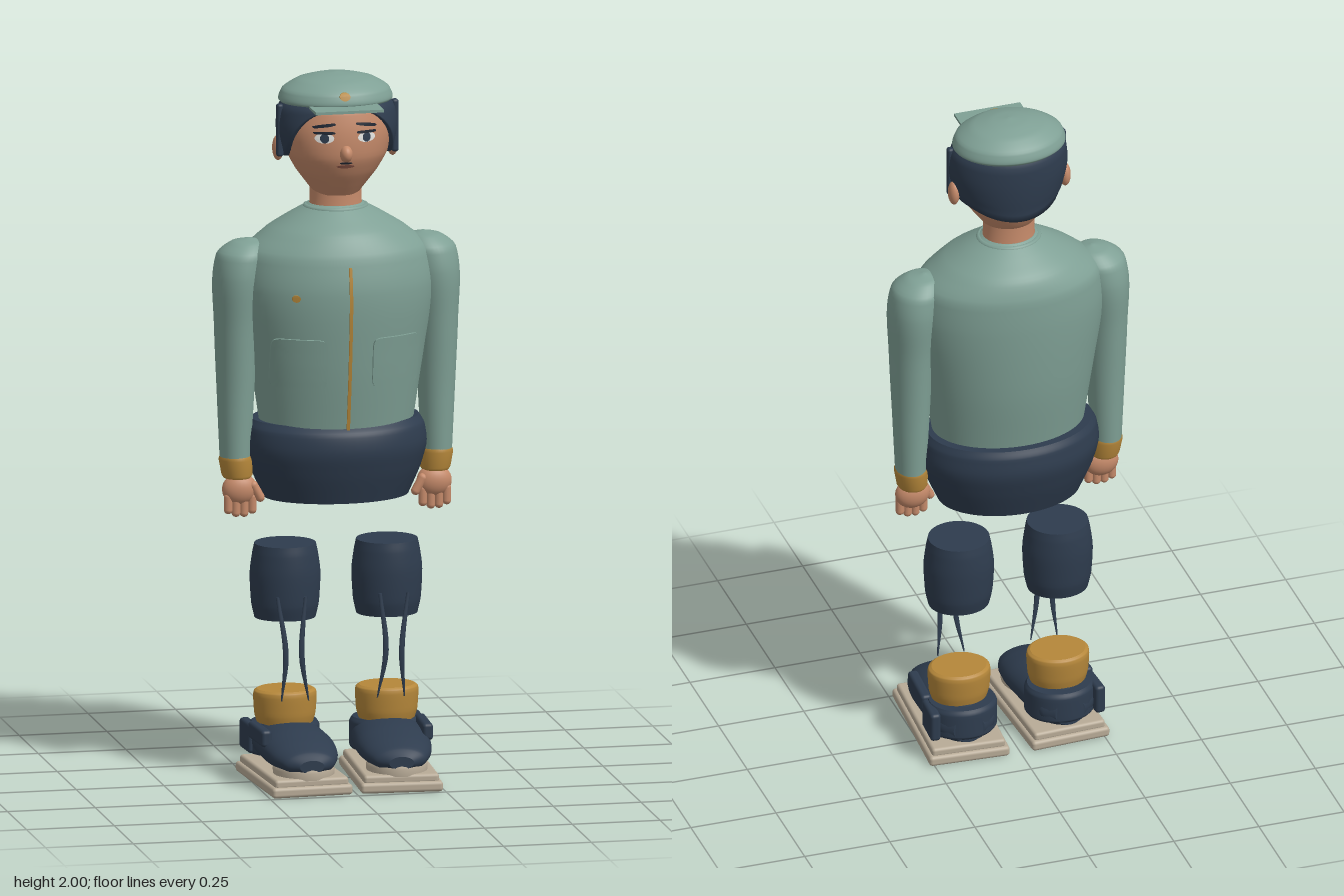
import * as THREE from 'three';
import { RoundedBoxGeometry } from 'three/addons/geometries/RoundedBoxGeometry.js';

const mat = (name, color) => {
  const m = new THREE.MeshStandardMaterial({ color });
  m.name = name;
  return m;
};

// Cross-section rows are [y, centreX, centreZ, radiusX, radiusZ]; this fills in smooth rows between them.
function dense(rows, per = 5) {
  const a = new THREE.CatmullRomCurve3(rows.map(r => new THREE.Vector3(r[1], r[0], r[2])));
  const b = new THREE.CatmullRomCurve3(rows.map(r => new THREE.Vector3(r[3], r[4], 0)));
  const n = (rows.length - 1) * per, out = [];
  for (let i = 0; i <= n; i++) {
    const p = a.getPoint(i / n), q = b.getPoint(i / n);
    out.push([p.y, p.x, p.z, q.x, q.y]);
  }
  return out;
}

// Closed skin through elliptical rows, with flat caps
function loft(rows, seg = 40) {
  const pos = [], idx = [], n = rows.length;
  const ring = ([y, cx, cz, rx, rz]) => {
    for (let j = 0; j < seg; j++) {
      const t = j / seg * Math.PI * 2;
      pos.push(cx + rx * Math.cos(t), y, cz + rz * Math.sin(t));
    }
  };
  rows.forEach(ring);
  for (let i = 0; i < n - 1; i++) for (let j = 0; j < seg; j++) {
    const a = i * seg + j, b = i * seg + (j + 1) % seg;
    idx.push(a, a + seg, b, b, a + seg, b + seg);
  }
  for (const top of [false, true]) {
    const r = rows[top ? n - 1 : 0], s = pos.length / 3;
    ring(r);
    pos.push(r[1], r[0], r[2]);
    for (let j = 0; j < seg; j++) {
      const k = s + (j + 1) % seg;
      idx.push(s + seg, top ? k : s + j, top ? s + j : k);
    }
  }
  const g = new THREE.BufferGeometry();
  g.setAttribute('position', new THREE.Float32BufferAttribute(pos, 3));
  g.setIndex(idx);
  g.computeVertexNormals();
  return g;
}

function sample(rows, y) {
  let i = 0;
  while (i < rows.length - 2 && rows[i + 1][0] < y) i++;
  const t = THREE.MathUtils.clamp((y - rows[i][0]) / (rows[i + 1][0] - rows[i][0]), 0, 1);
  return rows[i].map((v, k) => v + (rows[i + 1][k] - v) * t);
}

// Thin plate wrapped onto the front of a lofted body; power 2 is oval, higher is squarer
function plate(rows, x, y, w, h, thick, power = 2, tilt = 0) {
  const g = new THREE.BoxGeometry(2, 2, thick, 16, 16, 1), p = g.attributes.position;
  for (let i = 0; i < p.count; i++) {
    const u = p.getX(i), v = p.getY(i), m = Math.max(Math.abs(u), Math.abs(v));
    const s = m ? m / (Math.abs(u) ** power + Math.abs(v) ** power) ** (1 / power) : 1;
    const px = x + u * s * w / 2, py = y + v * s * h / 2 + tilt * u;
    const [, cx, cz, rx, rz] = sample(rows, py);
    p.setXYZ(i, px, py, cz + rz * Math.sqrt(Math.max(0, 1 - ((px - cx) / rx) ** 2)) + p.getZ(i));
  }
  g.computeVertexNormals();
  return g;
}

const TORSO = dense([[1, 0, -.045, .215, .155], [1.2, 0, -.045, .245, .185], [1.4, 0, -.043, .275, .198],
  [1.5, 0, -.05, .262, .188], [1.56, 0, -.055, .195, .16], [1.6, 0, -.055, .13, .11], [1.63, 0, -.053, .075, .068]]);
const HEAD = dense([[1.66, 0, -.045, .062, .06], [1.69, 0, -.045, .085, .083], [1.73, 0, -.042, .115, .108],
  [1.78, 0, -.038, .142, .125], [1.85, 0, -.04, .157, .127], [1.91, 0, -.045, .15, .12], [1.96, 0, -.05, .09, .075]]);
const CAP = dense([[1.915, 0, -.055, .15, .12], [1.928, 0, -.055, .161, .132], [1.955, 0, -.055, .151, .124],
  [1.982, 0, -.055, .108, .088], [1.995, 0, -.055, .055, .045], [2, 0, -.055, .004, .004]]);

// Hair shell: low at the nape, arching up over the forehead
function hairGeometry() {
  const seg = 64, steps = 12, pos = [], idx = [];
  for (let k = 0; k <= steps; k++) for (let j = 0; j <= seg; j++) {
    const t = j / seg * Math.PI * 2, front = Math.cos(t) > 0, s = Math.abs(Math.sin(t));
    const low = front ? 1.91 - .14 * s ** 4 : 1.73 + .04 * s ** 2;
    const y = low + (1.945 - low) * Math.max(0, k - 1) / (steps - 1);
    const [, , cz, rx, rz] = sample(HEAD, Math.max(y, 1.76));
    const f = k === 0 ? (y < 1.76 ? .8 : .97) : 1;
    const o = k === 0 ? 0 : front ? .014 - .008 * Math.cos(t) : .014;
    pos.push((rx * f + o) * Math.sin(t), y, cz + (rz * f + o) * Math.cos(t));
  }
  const w = seg + 1;
  for (let k = 0; k < steps; k++) for (let j = 0; j < seg; j++) {
    const a = k * w + j;
    idx.push(a, a + 1, a + w, a + 1, a + w + 1, a + w);
  }
  const g = new THREE.BufferGeometry();
  g.setAttribute('position', new THREE.Float32BufferAttribute(pos, 3));
  g.setIndex(idx);
  g.computeVertexNormals();
  return g;
}

export function createModel() {
  const root = new THREE.Group();
  const green = mat('jacketGreen', 0x7fa095), navy = mat('navy', 0x2e3c4e), skin = mat('skin', 0xc58a6a),
    gold = mat('gold', 0xb5873a), cream = mat('cream', 0xb8ab97), white = mat('eyeWhite', 0xe6e6e2),
    dark = mat('darkLine', 0x1d2430), lip = mat('lip', 0x8a5546);
  navy.side = THREE.DoubleSide;
  const add = (name, geo, m, parent = root, p = [0, 0, 0], scale) => {
    const mesh = new THREE.Mesh(geo, m);
    mesh.name = name;
    mesh.position.set(...p);
    if (scale) mesh.scale.set(...scale);
    parent.add(mesh);
    return mesh;
  };
  const ball = new THREE.SphereGeometry(1, 24, 16);

  // Jacket and hips
  add('torso', loft(TORSO, 64), green);
  add('hips', loft(dense([[.8, 0, -.052, .205, .148], [.88, 0, -.053, .24, .175], [.95, 0, -.054, .257, .19],
    [1, 0, -.055, .25, .183], [1.022, 0, -.06, .236, .166]]), 64), navy);
  add('zip', plate(TORSO, 0, 1.245, .009, .47, .009, 20), gold);
  add('chestBadge', plate(TORSO, -.15, 1.395, .022, .02, .009), gold);
  add('collar', new THREE.TorusGeometry(.084, .009, 8, 40).rotateX(Math.PI / 2), green, root, [0, 1.618, -.053], [1, 1, .9]);

  // Head
  add('neck', loft([[1.6, 0, -.053, .08, .07], [1.635, 0, -.053, .073, .066], [1.68, 0, -.053, .072, .066]]), skin);
  add('head', loft(HEAD, 48), skin);
  add('hair', hairGeometry(), navy);
  add('nose', ball, skin, root, [0, 1.793, .086], [.018, .024, .024]);
  add('mouth', plate(HEAD, 0, 1.756, .05, .01, .008), lip);
  add('upperLip', plate(HEAD, 0, 1.766, .035, .006, .008), dark);
  add('cap', loft(CAP, 56), green);
  add('visor', new THREE.BoxGeometry(.194, .008, .17), green, root, [0, 1.921, .05]);
  add('capBadge', plate(CAP, 0, 1.952, .03, .022, .009), gold);

  for (const s of [1, -1]) {
    const side = s > 0 ? 'left' : 'right';
    const flip = rows => rows.map(([y, x, ...r]) => [y, x * s, ...r]);

    // Face details
    add(side + 'EyeWhite', plate(HEAD, s * .06, 1.838, .052, .028, .004), white);
    add(side + 'Iris', plate(HEAD, s * .06, 1.838, .024, .026, .007), navy);
    add(side + 'Eyelid', plate(HEAD, s * .06, 1.853, .058, .007, .008, 4), dark);
    add(side + 'Eyebrow', plate(HEAD, s * .06, 1.873, .062, .008, .008, 3, -s * .004), dark);
    add(side + 'Ear', ball, skin, root, [s * .163, 1.79, -.058], [.016, .036, .022]);
    add(side + 'Sideburn', new RoundedBoxGeometry(.02, .15, .022, 3, .008), navy, root, [s * .164, 1.845, -.03]);

    // Jacket pocket
    add(side + 'Pocket', plate(TORSO, s * .138, 1.205, .146, .145, .02, 8), green);

    // Arm, cuff and hand
    add(side + 'Sleeve', loft(dense(flip([[.9, .287, -.05, .042, .05], [1.1, .286, -.049, .052, .06],
      [1.3, .285, -.047, .061, .076], [1.43, .277, -.047, .073, .088], [1.495, .265, -.047, .074, .08],
      [1.53, .252, -.047, .045, .045], [1.54, .247, -.047, .004, .004]]))), green);
    add(side + 'Cuff', loft(flip([[.86, .282, -.047, .038, .043], [.868, .282, -.047, .043, .048],
      [.912, .286, -.049, .047, .054], [.922, .286, -.049, .043, .05]])), gold);
    const hand = new THREE.Group();
    hand.name = side + 'Hand';
    hand.position.set(s * .277, 0, -.036);
    root.add(hand);
    add('palm', ball, skin, hand, [0, .828, 0], [.05, .045, .032]);
    [-.034, -.011, .012, .034].forEach((x, i) =>
      add('finger', new THREE.CapsuleGeometry(.0125, .036, 6, 12), skin, hand, [s * x, [.788, .78, .781, .79][i], .008]));
    const thumb = add('thumb', new THREE.CapsuleGeometry(.013, .04, 6, 12), skin, hand, [-s * .046, .822, .014]);
    thumb.rotation.z = -s * .5;

    // Leg section and trailing strips
    add(side + 'TrouserLeg', loft(dense([[.458, s * .145, -.048, .086, .078], [.5, s * .145, -.048, .095, .088],
      [.58, s * .145, -.048, .099, .092], [.64, s * .145, -.048, .092, .089], [.668, s * .145, -.048, .086, .084]])), navy);
    for (const [a, b, c] of [[.175, .165, .186], [.098, .12, .106]])
      add(side + 'TrouserStrip', loft(dense(flip([[.235, a, .045, .002, .002], [.37, b, .056, .008, .003],
        [.53, c, .043, .005, .003]])), 8), navy);
    add(side + 'Sock', loft(dense([[.15, s * .145, -.05, .076, .066], [.185, s * .145, -.05, .086, .074],
      [.235, s * .145, -.05, .089, .077], [.248, s * .145, -.05, .087, .075], [.254, s * .145, -.05, .078, .068]])), gold);

    // Foot, turned slightly inward
    const foot = new THREE.Group();
    foot.name = side + 'Foot';
    foot.position.set(s * .138, 0, .04);
    foot.rotation.y = -s * .055;
    root.add(foot);
    add('lowerSole', new RoundedBoxGeometry(.232, .03, .4, 3, .01), cream, foot, [0, .016, 0]);
    add('upperSole', new RoundedBoxGeometry(.212, .026, .38, 3, .009), cream, foot, [0, .038, 0]);
    add('shoe', loft(dense([[-.19, 0, -.1, .045, .04], [-.165, 0, -.105, .08, .055], [-.08, 0, -.11, .1, .061],
      [.03, 0, -.106, .106, .058], [.11, 0, -.097, .096, .047], [.165, 0, -.088, .072, .034], [.19, 0, -.084, .035, .018]]))
      .rotateX(Math.PI / 2), navy, foot);
    add('toeCap', loft([[.045, 0, .1, .085, .092], [.065, 0, .1, .086, .094], [.08, 0, .1, .08, .088],
      [.088, 0, .1, .06, .07]]), cream, foot);
    add('heelBand', loft(dense([[.07, 0, -.108, .094, .084], [.08, 0, -.108, .1, .09], [.145, 0, -.108, .1, .088],
      [.16, 0, -.108, .092, .08]])), navy, foot);
    add('strap', new RoundedBoxGeometry(.03, .048, .15, 3, .01), navy, foot, [s * .095, .142, -.015]);
    add('heelTab', new RoundedBoxGeometry(.03, .085, .1, 3, .01), navy, foot, [s * .094, .115, -.135]);
  }
  return root;
}
